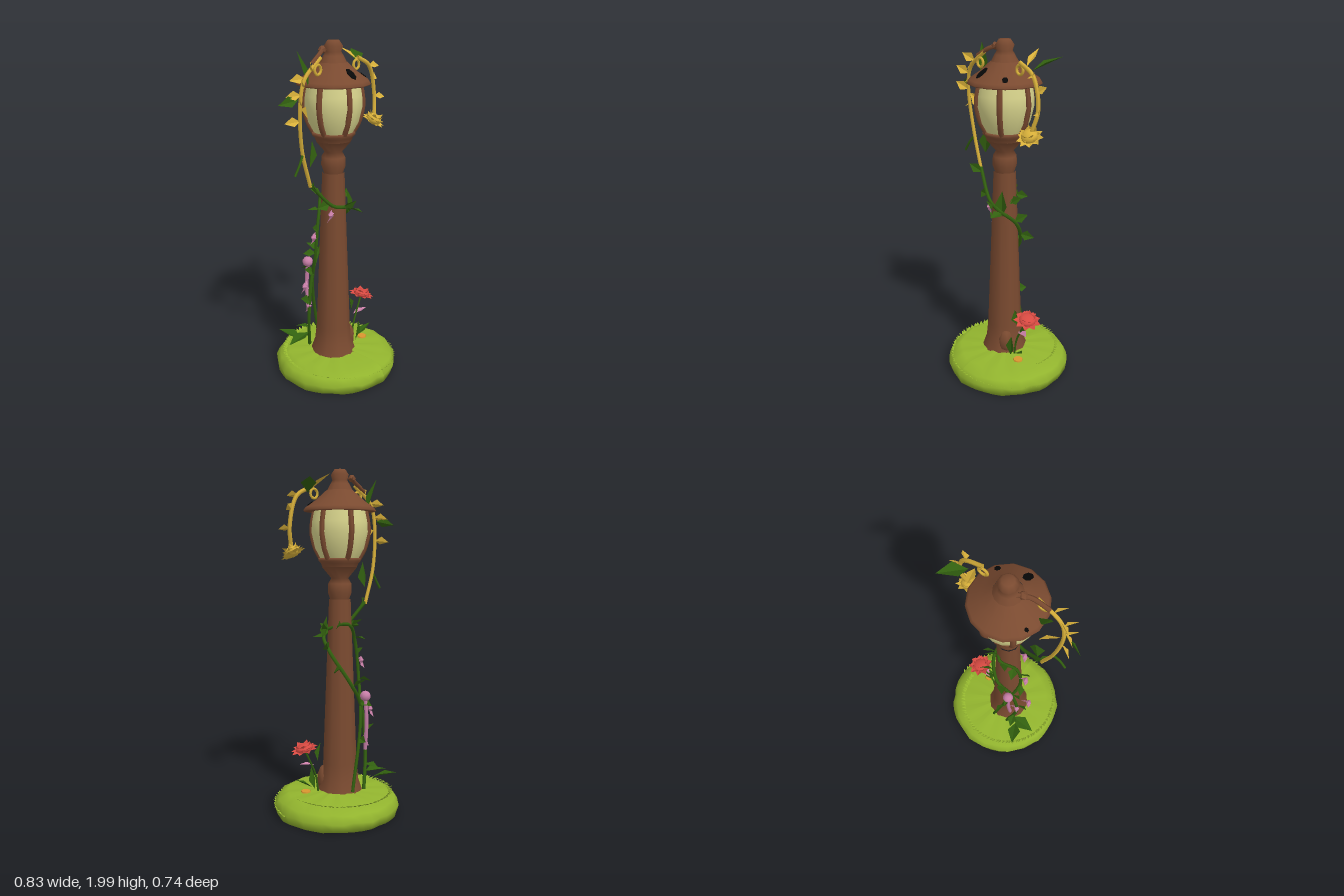
import * as THREE from 'three';

const mat = (name, color, double = false) => {
  const m = new THREE.MeshStandardMaterial({ color });
  m.name = name;
  if (double) m.side = THREE.DoubleSide;
  return m;
};
const V = (a) => new THREE.Vector3(...a);

export function createModel() {
  const wood = mat('brown wood', 0x7a4a30);
  const glass = mat('pale glass', 0xd8d48c);
  const grass = mat('grass green', 0x92b42e, true);
  const green = mat('leaf green', 0x32600f, true);
  const yellow = mat('yellow petal', 0xd8b03a, true);
  const red = mat('red petal', 0xd84a42, true);
  const pink = mat('pink petal', 0xc97fa8, true);
  const black = mat('dark hole', 0x080808);
  const orange = mat('orange patch', 0xd9962f);

  const model = new THREE.Group();
  model.name = 'floweringLamp';

  const add = (name, geo, m, pos = [0, 0, 0], parent = model) => {
    const mesh = new THREE.Mesh(geo, m);
    mesh.name = name;
    mesh.position.set(...pos);
    parent.add(mesh);
    return mesh;
  };
  const lathe = (pts, n) => new THREE.LatheGeometry(pts.map((p) => new THREE.Vector2(...p)), n);
  const tube = (name, pts, r, m) => {
    const curve = new THREE.CatmullRomCurve3(pts.map(V));
    add(name, new THREE.TubeGeometry(curve, pts.length * 6, r, 5), m);
    return curve;
  };
  // Folded blade from base to tip
  const leaf = (name, m, a, b, width, facing, parent = model) => {
    const d = b.clone().sub(a);
    const side = d.clone().cross(facing).normalize().multiplyScalar(width / 2);
    const up = side.clone().cross(d).normalize().multiplyScalar(width * 0.2);
    const mid = a.clone().addScaledVector(d, 0.45);
    const l = mid.clone().add(side).add(up), r = mid.clone().sub(side).add(up);
    const geo = new THREE.BufferGeometry().setFromPoints([a, mid, l, l, mid, b, a, r, mid, mid, r, b]);
    geo.computeVertexNormals();
    add(name, geo, m, [0, 0, 0], parent);
  };
  const UP = V([0, 1, 0]), FRONT = V([0.3, 0.5, 1]);
  // Leaves spaced along a stem, pointing away from the post, alternately up and down
  const sprout = (name, m, curve, count, from, to, length, width) => {
    for (let i = 0; i < count; i++) {
      const p = curve.getPoint(from + (to - from) * i / (count - 1));
      const turn = i % 2 ? 1 : -1;
      const d = V([p.x, 0, p.z]).normalize().applyAxisAngle(UP, turn * 0.6);
      d.y = turn * 0.35 + 0.25;
      leaf(name, m, p, p.clone().addScaledVector(d.normalize(), length), width, FRONT);
    }
  };

  // Grassy mound with uneven rim and small blades
  const mound = lathe([[0, 0.01], [0.36, 0.01], [0.37, 0.06], [0.345, 0.1], [0.29, 0.13], [0, 0.138]], 40);
  const mp = mound.attributes.position;
  for (let i = 0; i < mp.count; i++) {
    const x = mp.getX(i), y = mp.getY(i), z = mp.getZ(i), a = Math.atan2(z, x);
    const k = 1 + 0.012 * Math.sin(a * 9 + y * 40) + 0.008 * Math.sin(a * 17);
    mp.setXYZ(i, x * k, y > 0.05 ? y + 0.005 * Math.sin(a * 13 + y * 60) : y, z * k);
  }
  mound.computeVertexNormals();
  add('grassMound', mound, grass, [0.02, 0, -0.01]);
  const blades = new THREE.Group();
  blades.name = 'grassBlades';
  blades.position.set(0.02, 0, -0.01);
  model.add(blades);
  for (let i = 0; i < 90; i++) {
    const a = i * 2.4, t = (i * 0.618) % 1, r = 0.28 + 0.085 * t, y = 0.13 - 0.09 * t * t;
    const at = (rr, yy, aa) => V([rr * Math.cos(aa), yy, rr * Math.sin(aa)]);
    leaf('grassBlade', grass, at(r - 0.01, y - 0.005, a), at(r + 0.022, y + 0.016, a + 0.05), 0.022, UP, blades);
  }
  add('orangePatch', new THREE.CylinderGeometry(0.028, 0.03, 0.008, 7), orange, [0.2, 0.142, 0.06]);

  // Post, collar and cup under the lantern
  const c = [-0.008, 0, -0.008];
  add('post', lathe([[0.14, 0.12], [0.112, 0.2], [0.102, 0.3], [0.064, 1.27]], 10), wood, c);
  add('postCollar', lathe([[0.05, 1.25], [0.071, 1.31], [0.068, 1.36], [0.05, 1.39], [0.105, 1.455]], 12), wood, c);
  add('lanternCup', lathe([[0.1, 1.45], [0.11, 1.475], [0.125, 1.49], [0.123, 1.505], [0, 1.505]], 12), wood, c);
  add('rootBump', new THREE.SphereGeometry(0.06, 7, 5), wood, [0.065, 0.2, 0.045]).scale.set(0.8, 1.35, 0.8);

  // Barrel-shaped glass with six bent ribs on the same profile
  const barrel = [[0.105, 1.49], [0.143, 1.56], [0.164, 1.65], [0.16, 1.71], [0.146, 1.78]];
  add('lanternGlass', lathe(barrel, 18), glass, c);
  for (let i = 0; i < 6; i++) {
    const a = THREE.MathUtils.degToRad(41 + 60 * i);
    tube('lanternRib', barrel.map(([r, y]) => [c[0] + (r - 0.003) * Math.sin(a), y, c[2] + (r - 0.003) * Math.cos(a)]), 0.017, wood);
  }

  // Roof and finial
  add('roof', lathe([[0, 1.78], [0.2, 1.765], [0.208, 1.772], [0.195, 1.79], [0.14, 1.828], [0.076, 1.885]], 14), wood, c);
  add('finial', lathe([[0.082, 1.87], [0.055, 1.92], [0.043, 1.94], [0.052, 1.97], [0.032, 2], [0, 2]], 10), wood, c);
  // Dark gaps lying on the roof slope
  const roofGap = (angle, r, w, h) => {
    const holder = new THREE.Group();
    holder.name = 'roofGap';
    holder.position.set(...c);
    holder.rotation.y = angle;
    model.add(holder);
    const plate = add('roofGapPlate', new THREE.CylinderGeometry(1, 1, 0.005, 7), black, [0, 1.832 + (0.14 - r) * 0.75, r], holder);
    plate.scale.set(w, 1, h);
    plate.rotation.x = 0.64;
  };
  roofGap(-0.16, 0.14, 0.022, 0.042);
  roofGap(0.89, 0.168, 0.016, 0.02);
  roofGap(-2.07, 0.178, 0.01, 0.012);

  // Brown twig reaching from the finial
  tube('twig', [[-0.07, 1.96, -0.03], [-0.13, 1.94, 0], [-0.22, 1.89, 0.015]], 0.013, wood);
  add('twigKnob', new THREE.IcosahedronGeometry(0.024, 0), wood, [-0.095, 1.955, -0.015]);

  // Climbing stems and their leaves
  const mainVine = tube('mainVine', [[-0.08, 0.14, -0.14], [-0.13, 0.35, -0.1], [-0.09, 0.65, -0.1], [0.01, 0.8, -0.11],
    [0.08, 0.97, -0.02], [0.04, 1.06, 0.075], [-0.08, 1.09, 0.05], [-0.22, 1.24, 0]], 0.011, green);
  const backVine = tube('backVine', [[0.02, 0.15, -0.15], [-0.07, 0.55, -0.12], [-0.12, 0.8, -0.05],
    [-0.09, 1.02, -0.05], [0.0, 1.13, -0.09], [0.07, 1.1, 0.01]], 0.01, green);
  sprout('vineLeaf', green, mainVine, 10, 0.1, 0.98, 0.09, 0.06);
  sprout('vineLeaf', green, backVine, 8, 0.15, 1, 0.075, 0.055);

  // Hanging tendrils with curled ends
  const leftTendril = tube('leftTendril', [[-0.22, 1.23, 0], [-0.285, 1.45, 0], [-0.31, 1.7, 0.015], [-0.28, 1.82, 0.02], [-0.15, 1.92, 0.02]], 0.011, yellow);
  const rightTendril = tube('rightTendril', [[0.16, 1.9, 0.03], [0.27, 1.84, 0.035], [0.315, 1.68, 0.04], [0.29, 1.56, 0.06]], 0.012, yellow);
  tube('leftTendrilEnd', [[-0.28, 1.42, 0], [-0.32, 1.37, 0.01], [-0.355, 1.32, 0.01]], 0.007, green);
  for (const x of [-0.18, 0.155]) add('curl', new THREE.TorusGeometry(0.026, 0.008, 5, 12), yellow, [x, 1.86, 0.025]);
  sprout('yellowPetal', yellow, leftTendril, 6, 0.4, 0.85, 0.085, 0.055);
  sprout('yellowPetal', yellow, rightTendril, 3, 0.3, 0.7, 0.06, 0.05);
  leaf('yellowPetal', yellow, V([-0.3, 1.67, 0.01]), V([-0.2, 1.6, -0.03]), 0.075, FRONT);
  leaf('yellowPetal', yellow, V([0.19, 1.88, 0.01]), V([0.15, 1.96, -0.11]), 0.045, FRONT);

  // Larger single leaves
  const bigLeaf = (a, b, w, facing) => leaf('largeLeaf', green, V(a), V(b), w, facing);
  bigLeaf([-0.11, 0.24, -0.12], [-0.28, 0.22, -0.13], 0.09, UP);
  bigLeaf([-0.15, 0.2, -0.14], [-0.21, 0.25, -0.28], 0.085, UP);
  bigLeaf([0.22, 1.86, 0], [0.31, 1.93, -0.13], 0.085, UP);
  bigLeaf([-0.2, 1.33, -0.02], [-0.18, 1.48, -0.02], 0.085, FRONT);
  bigLeaf([-0.2, 1.76, -0.02], [-0.26, 1.96, -0.05], 0.07, FRONT);
  bigLeaf([-0.32, 1.72, 0.01], [-0.43, 1.7, -0.03], 0.06, FRONT);
  bigLeaf([0.05, 1.02, 0.06], [0.04, 1.17, 0.05], 0.08, FRONT);
  bigLeaf([0.15, 0.33, 0.01], [0.12, 0.43, 0.02], 0.07, FRONT);
  bigLeaf([0.13, 0.14, 0.06], [0.15, 0.28, 0.07], 0.06, FRONT);
  bigLeaf([0.16, 0.16, 0.05], [0.26, 0.22, 0.08], 0.055, UP);

  // Layered bloom: rings of petals around a faceted heart
  const bloom = (name, m, pos, r, height, tilt) => {
    const g = new THREE.Group();
    g.name = name;
    g.position.set(...pos);
    g.rotation.set(...tilt);
    model.add(g);
    add(name + 'Heart', new THREE.IcosahedronGeometry(r * 0.62, 1), m, [0, 0, 0], g).scale.y = height / r;
    for (let ring = 0; ring < 3; ring++) {
      const n = 9 - ring * 2, out = r * (1 - ring * 0.2);
      for (let i = 0; i < n; i++) {
        const a = (i + ring * 0.5) / n * Math.PI * 2, s = Math.sin(a), k = Math.cos(a);
        leaf(name + 'Petal', m, V([s * r * 0.2, -height * 0.5, k * r * 0.2]), V([s * out, height * (ring * 0.5 - 0.2), k * out]), r * 0.75, UP, g);
      }
    }
  };
  bloom('yellowBloom', yellow, [0.28, 1.54, 0.065], 0.075, 0.05, [0.5, 0, -0.2]);
  bloom('redBloom', red, [0.24, 0.42, 0.025], 0.083, 0.04, [0.1, 0, -0.25]);
  tube('redBloomStem', [[0.13, 0.13, 0.03], [0.15, 0.24, 0.03], [0.23, 0.4, 0.025]], 0.006, green);

  // Pink buds and petals
  leaf('pinkPetal', pink, V([0.16, 0.305, 0.02]), V([0.26, 0.32, 0.05]), 0.05, UP);
  for (const p of [[-0.09, 1.04, 0.04], [-0.15, 0.9, -0.04], [-0.2, 0.6, -0.07], [-0.13, 0.44, -0.1]].map(V)) {
    add('pinkBud', new THREE.OctahedronGeometry(0.02, 0), pink, p.toArray()).scale.y = 1.3;
    leaf('pinkPetal', pink, p, p.clone().add(V([0.04, 0.02, -0.02])), 0.03, FRONT);
    leaf('pinkPetal', pink, p, p.clone().add(V([-0.01, -0.05, -0.02])), 0.03, FRONT);
  }
  add('hangingBud', new THREE.IcosahedronGeometry(0.032, 1), pink, [-0.09, 0.705, -0.14]);
  tube('hangingBudStem', [[-0.09, 0.7, -0.14], [-0.095, 0.55, -0.145], [-0.1, 0.38, -0.13]], 0.012, pink);
  return model;
}
